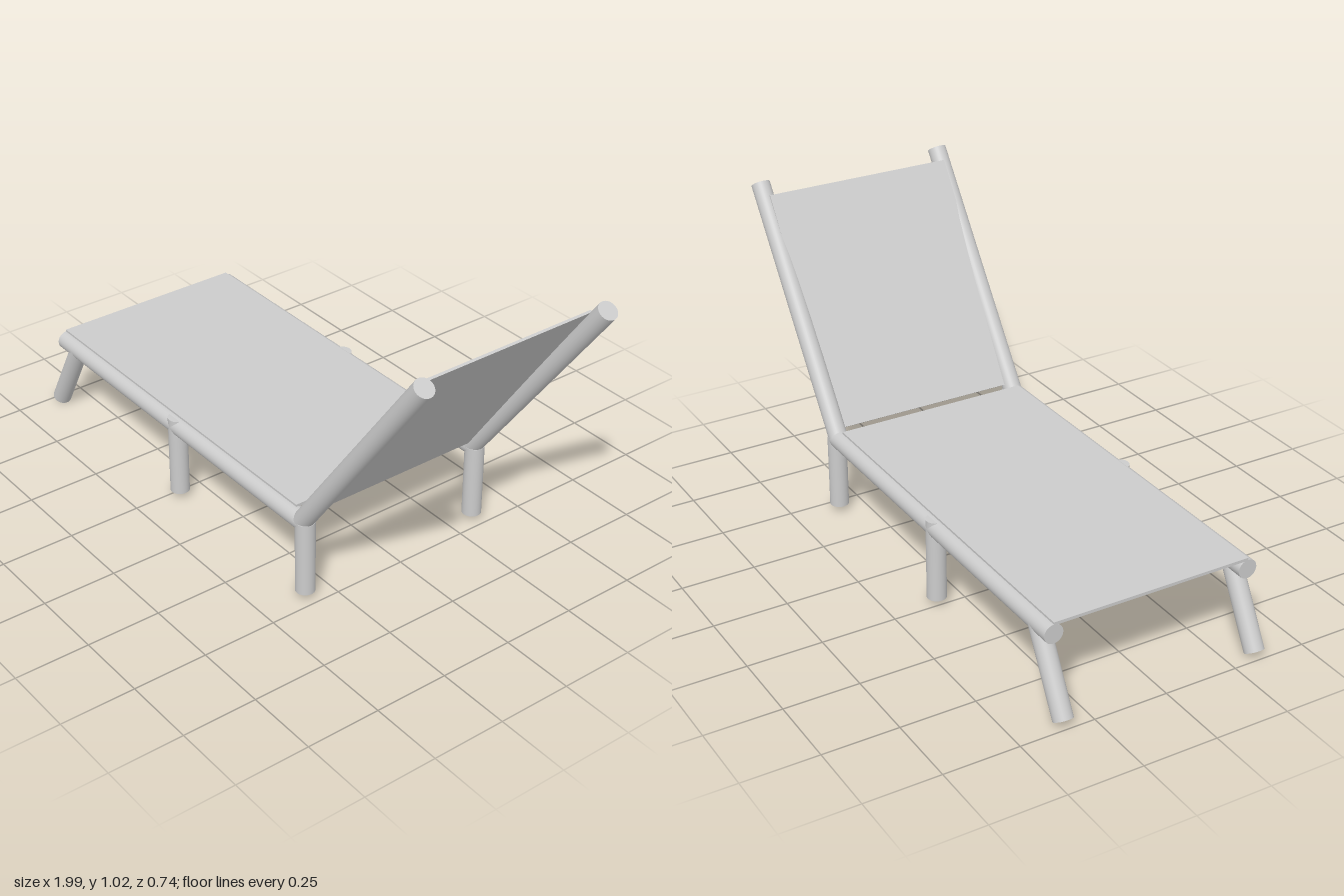
import * as THREE from 'three';

const material = new THREE.MeshStandardMaterial({ color: 0xcccccc });
const RADIUS = 0.032;
const SIDE_Z = 0.34;

// Round bar between two points of the side profile, at depth z
function bar(name, [x0, y0], [x1, y1], z) {
  const a = new THREE.Vector3(x0, y0, z);
  const b = new THREE.Vector3(x1, y1, z);
  const mesh = new THREE.Mesh(new THREE.CylinderGeometry(RADIUS, RADIUS, a.distanceTo(b), 32), material);
  mesh.name = name;
  mesh.position.copy(a).add(b).multiplyScalar(0.5);
  mesh.quaternion.setFromUnitVectors(new THREE.Vector3(0, 1, 0), b.sub(a).normalize());
  return mesh;
}

// Thin stretched panel between two points of the side profile
function panel(name, [x0, y0], [x1, y1], width, thickness) {
  const length = Math.hypot(x1 - x0, y1 - y0);
  const mesh = new THREE.Mesh(new THREE.BoxGeometry(length, thickness, width), material);
  mesh.name = name;
  mesh.position.set((x0 + x1) / 2, (y0 + y1) / 2, 0);
  mesh.rotation.z = Math.atan2(y1 - y0, x1 - x0);
  return mesh;
}

export function createModel() {
  const lounger = new THREE.Group();
  lounger.name = 'sunLounger';

  // Tubular frame, the same on both long sides
  for (const [side, z] of [['front', SIDE_Z], ['back', -SIDE_Z]]) {
    const frame = new THREE.Group();
    frame.name = `${side}Frame`;
    frame.add(
      bar('seatRail', [-0.915, 0.274], [0.45, 0.274], z),
      bar('backrestRail', [0.44, 0.278], [0.967, 1.006], z),
      bar('footLeg', [-0.972, 0.0155], [-0.83, 0.274], z),
      bar('middleLeg', [-0.23, 0.022], [-0.23, 0.304], z),
      bar('hipLeg', [0.45, 0.022], [0.45, 0.28], z),
    );
    lounger.add(frame);
  }

  // Seat lies on top of the rails; the backrest panel leans slightly across its rails
  lounger.add(
    panel('seatPanel', [-0.915, 0.308], [0.405, 0.308], 0.68, 0.01),
    panel('backrestPanel', [0.45, 0.303], [0.909, 0.981], 0.67, 0.008),
  );
  return lounger;
}
